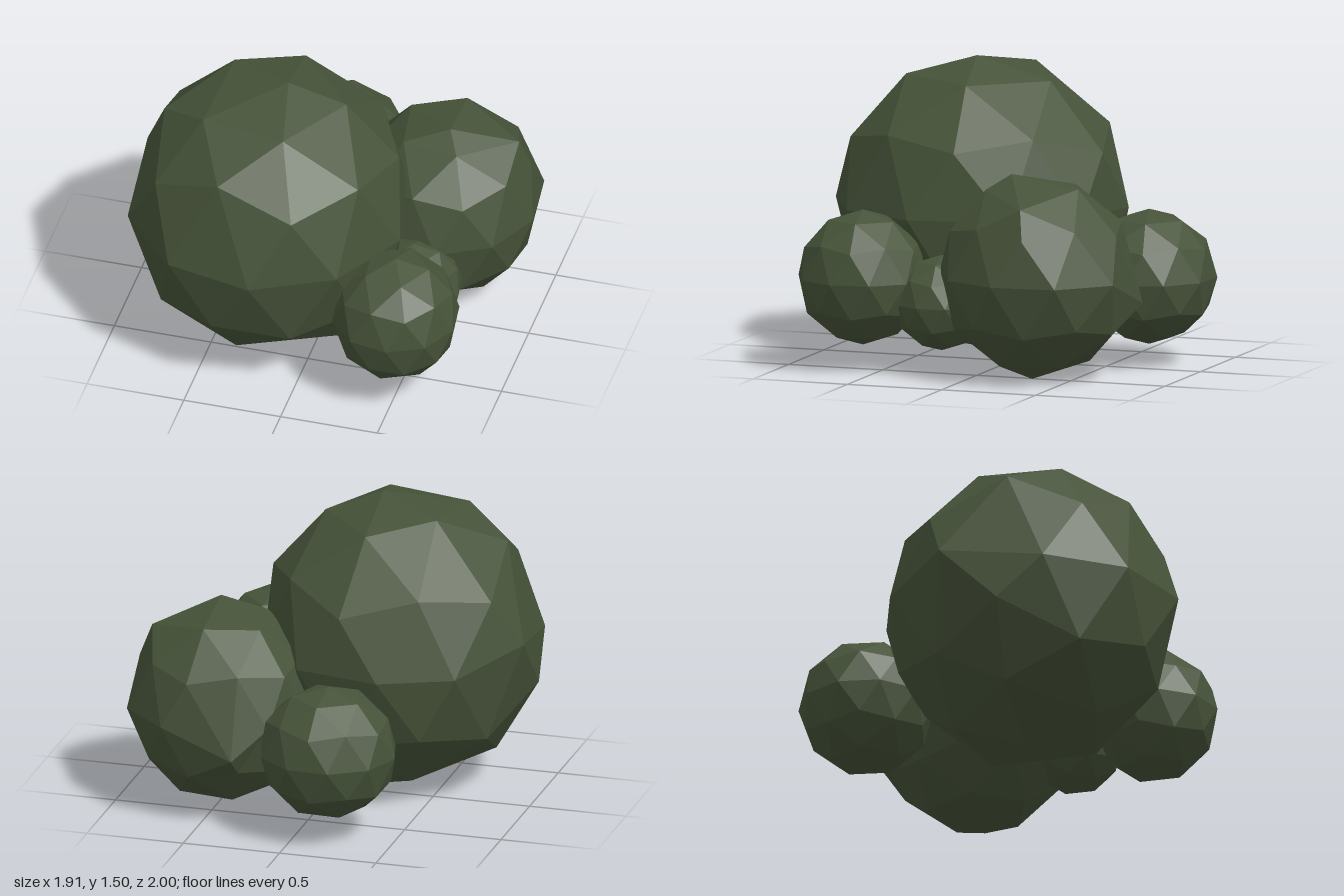
import * as THREE from 'three';
import { mergeVertices } from 'three/addons/utils/BufferGeometryUtils.js';

// The two axes each outline is drawn in (0 = x, 1 = y, 2 = z)
const PLANES = { front: [0, 1], side: [2, 1], top: [0, 2] };

// Leaf clumps: a faceted ball plus a few outline corners that make it uneven
const CLUMPS = [
  {
    name: 'mainClump', center: [-0.26, 0.75, 0.25], radii: [0.72, 0.75, 0.745], yaw: -29,
    outlines: {
      front: [[-0.17, 1.5], [-0.5, 1.44], [-0.79, 1.27], [-0.96, 0.84], [-0.95, 0.54], [-0.74, 0.18],
        [-0.35, 0], [-0.11, 0.03], [0.14, 0.13]],
      side: [[0.6, 1.4], [0.82, 1.22], [-0.43, 1.05]],
      top: [[-0.17, 1], [-0.96, 0.03], [-0.71, -0.33], [0.35, -0.11]],
    },
  },
  {
    name: 'backLeftClump', center: [0.49, 0.52, -0.32], radii: [0.47, 0.51, 0.5], yaw: -27,
    outlines: {
      front: [[0.54, 1.03], [0.85, 0.9], [0.57, 0.01]],
      side: [[-0.2, 1.03], [-0.55, 0.97], [-0.81, 0.38]],
      top: [[0.31, -0.81], [0.68, -0.79], [0.92, -0.57]],
    },
  },
  { name: 'frontLeftClump', center: [0.485, 0.46, 0.61], radii: [0.32, 0.34, 0.33], yaw: -29, outlines: {} },
  { name: 'rearClump', center: [-0.155, 0.44, -0.67], radii: [0.35, 0.34, 0.34], yaw: -21, outlines: {} },
  { name: 'fillerClump', center: [0.46, 0.35, 0.2], radii: [0.25, 0.24, 0.24], yaw: -29, outlines: {} },
];

// Moves the nearest free rim corner of the ball onto each outline corner
function shapeOutline(pos, center, [a, b], corners) {
  const depth = 3 - a - b;
  const used = new Set();
  for (const [pa, pb] of corners) {
    let best = -1;
    let bestDistance = Infinity;
    for (let i = 0; i < pos.count; i++) {
      const distance = Math.hypot(
        pos.getComponent(i, a) - pa,
        pos.getComponent(i, b) - pb,
        0.6 * (pos.getComponent(i, depth) - center[depth]),
      );
      if (!used.has(i) && distance < bestDistance) {
        bestDistance = distance;
        best = i;
      }
    }
    used.add(best);
    pos.setComponent(best, a, pa);
    pos.setComponent(best, b, pb);
  }
}

function clumpGeometry({ center, radii, yaw, outlines }) {
  let geo = new THREE.IcosahedronGeometry(1, 1);
  geo.deleteAttribute('normal');
  geo.deleteAttribute('uv');
  geo = mergeVertices(geo, 1e-4);
  // Stand the ball on one of its corners, then turn it
  geo.rotateZ(Math.atan(2 / (1 + Math.sqrt(5))));
  geo.rotateY(THREE.MathUtils.degToRad(yaw));
  geo.scale(...radii);
  geo.translate(...center);
  for (const [view, corners] of Object.entries(outlines)) {
    shapeOutline(geo.attributes.position, center, PLANES[view], corners);
  }
  // Separate faces for flat facets
  const flat = geo.toNonIndexed();
  flat.computeVertexNormals();
  return flat;
}

export function createModel() {
  const group = new THREE.Group();
  group.name = 'bush';
  const foliage = new THREE.MeshStandardMaterial({ color: 0x465339 });
  foliage.name = 'dark green foliage';
  for (const clump of CLUMPS) {
    const mesh = new THREE.Mesh(clumpGeometry(clump), foliage);
    mesh.name = clump.name;
    group.add(mesh);
  }
  return group;
}
